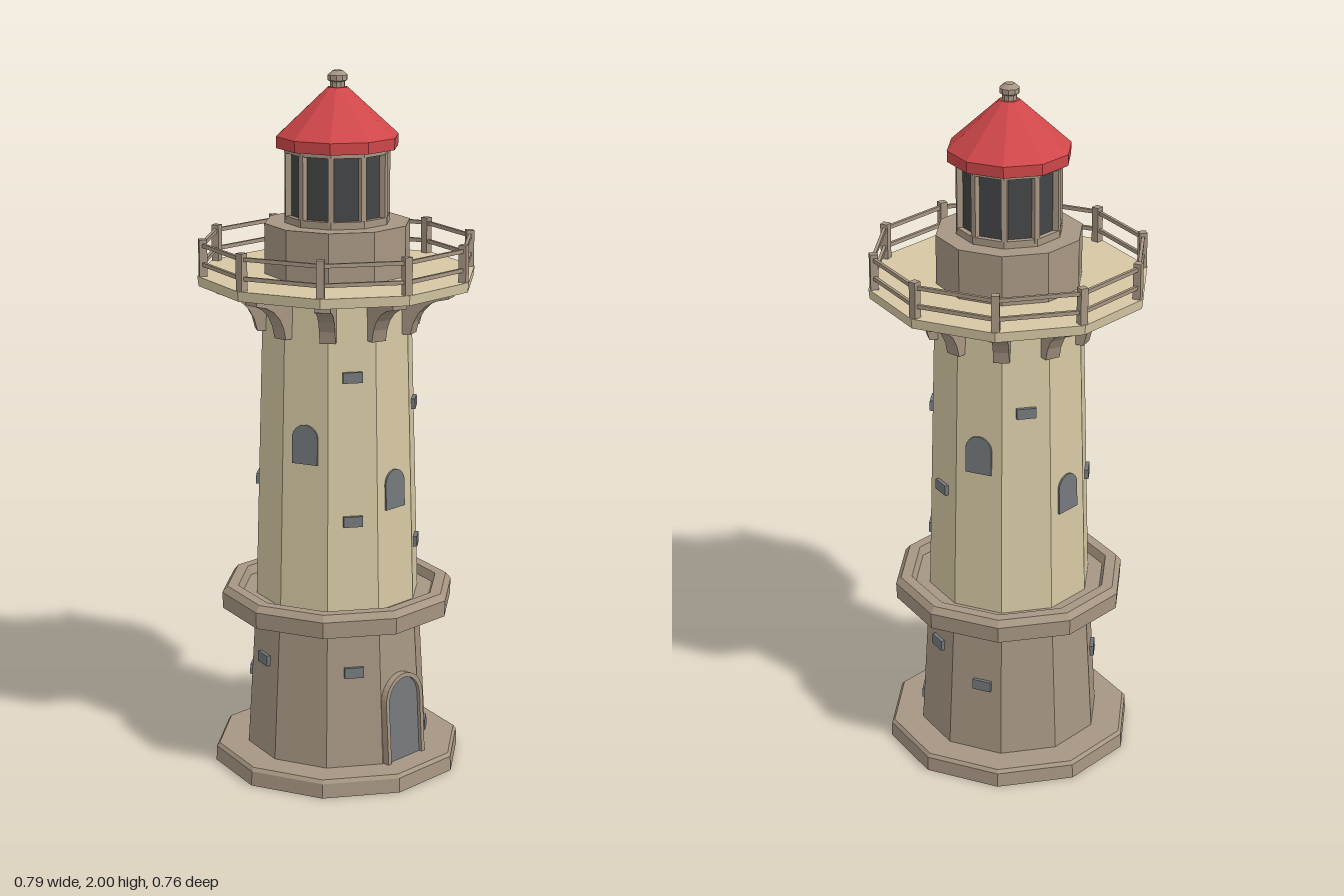
import * as THREE from 'three';

const SIDES = 10;
const STEP = (Math.PI * 2) / SIDES;
const rad = THREE.MathUtils.degToRad;
const CORNER = rad(-2.3);            // heading of the first corner, from +x towards +z
const START = Math.PI / 2 - CORNER;  // the same corner as a cylinder start angle
const APOTHEM = Math.cos(STEP / 2);

function material(name, color) {
  const m = new THREE.MeshStandardMaterial({ color, flatShading: true });
  m.name = name;
  return m;
}

export function createModel() {
  const cream = material('cream plaster', 0xd6c8a4);
  const stone = material('brown stone', 0xa79683);
  const red = material('red roof', 0xd0474a);
  const slate = material('slate grey', 0x74787b);
  const glass = material('dark glass', 0x434546);

  const model = new THREE.Group();
  model.name = 'lighthouse';

  function add(name, geometry, mat, parent = model) {
    const mesh = new THREE.Mesh(geometry, mat);
    mesh.name = name;
    parent.add(mesh);
    return mesh;
  }
  // Ten-sided drum between two heights
  function drum(name, rTop, rBottom, y0, y1, mat) {
    const g = new THREE.CylinderGeometry(rTop, rBottom, y1 - y0, SIDES, 1, false, START);
    add(name, g, mat).position.y = (y0 + y1) / 2;
  }
  // Ten-sided turned profile
  function turned(name, points, mat) {
    const profile = points.map(([r, y]) => new THREE.Vector2(r, y));
    add(name, new THREE.LatheGeometry(profile, SIDES, START), mat);
  }
  // Group whose local +z points outwards at a heading
  function facing(name, angle) {
    const g = new THREE.Group();
    g.name = name;
    g.rotation.y = Math.PI / 2 - angle;
    model.add(g);
    return g;
  }
  const corner = (k) => CORNER + k * STEP;
  const side = (k) => CORNER + (k + 0.5) * STEP;

  // Tower radius at a height
  const wallRadius = (y) => (y < 0.5 ? 0.267 - 0.058 * y : 0.237 - 0.028 * (y - 0.5));
  const wallLean = (y) => (y < 0.5 ? -0.055 : -0.026);

  // Main masonry
  turned('baseSlab', [[0, 0], [0.36, 0], [0.358, 0.042], [0.35, 0.052], [0, 0.052]], stone);
  drum('lowerTower', wallRadius(0.48), wallRadius(0.04), 0.04, 0.48, stone);
  turned('middleLedge', [[0.2, 0.46], [0.335, 0.465], [0.337, 0.512], [0.322, 0.53],
    [0.29, 0.53], [0.28, 0.505], [0.2, 0.505]], stone);
  drum('upperTower', wallRadius(1.42), wallRadius(0.5), 0.5, 1.42, cream);
  drum('galleryDeck', 0.396, 0.393, 1.41, 1.438, cream);
  drum('lanternBase', 0.207, 0.207, 1.435, 1.58, stone);

  // Lantern room
  drum('lanternSill', 0.15, 0.15, 1.575, 1.6, stone);
  drum('lanternGlass', 0.134, 0.134, 1.59, 1.795, glass);
  drum('lanternHead', 0.15, 0.15, 1.775, 1.795, stone);
  turned('roof', [[0, 1.795], [0.14, 1.795], [0.172, 1.788], [0.173, 1.82],
    [0.028, 1.953], [0, 1.953]], red);
  turned('finial', [[0.021, 1.94], [0.021, 1.968], [0.028, 1.972], [0.028, 1.986],
    [0.014, 1.998], [0, 2]], stone);

  // Curved bracket section, local x pointing outwards
  const bracketShape = new THREE.Shape();
  bracketShape.moveTo(0.19, 1.28);
  bracketShape.lineTo(0.232, 1.28);
  bracketShape.quadraticCurveTo(0.245, 1.375, 0.345, 1.39);
  bracketShape.lineTo(0.345, 1.412);
  bracketShape.lineTo(0.19, 1.412);
  const bracketGeo = new THREE.ExtrudeGeometry(bracketShape,
    { depth: 0.044, bevelEnabled: false, curveSegments: 5 });
  bracketGeo.translate(0, 0, -0.022);

  // Parts repeated around the corners and sides
  const railRadius = 0.382;
  const railLength = 2 * railRadius * Math.sin(STEP / 2);
  for (let k = 0; k < SIDES; k++) {
    add('bracket', bracketGeo, stone).rotation.y = -corner(k);

    const atCorner = facing('cornerPosts', corner(k));
    add('railingPost', new THREE.BoxGeometry(0.022, 0.108, 0.022), stone, atCorner)
      .position.set(0, 1.487, 0.38);
    add('lanternPost', new THREE.BoxGeometry(0.016, 0.19, 0.018), stone, atCorner)
      .position.set(0, 1.685, 0.139);

    const atSide = facing('railingSide', side(k));
    for (const y of [1.472, 1.525]) {
      add('rail', new THREE.BoxGeometry(railLength, 0.011, 0.009), stone, atSide)
        .position.set(0, y, railRadius * APOTHEM);
    }
  }

  // Round-headed outline standing on y = 0
  function archShape(width, height) {
    const r = width / 2;
    const s = new THREE.Shape();
    s.moveTo(-r, 0);
    s.lineTo(r, 0);
    s.lineTo(r, height - r);
    s.absarc(0, height - r, r, 0, Math.PI, false);
    s.lineTo(-r, 0);
    return s;
  }
  const slab = (shape, depth) => new THREE.ExtrudeGeometry(shape,
    { depth, bevelEnabled: false, curveSegments: 8 });

  // Place a part on a wall at a given side, offset and height
  function onWall(name, geometry, mat, k, x, y, out) {
    const mesh = add(name, geometry, mat, facing(name + 'Mount', side(k)));
    mesh.position.set(x, y, wallRadius(y) * APOTHEM + out);
    mesh.rotation.x = wallLean(y);
  }

  // Arched windows
  const windowGeo = slab(archShape(0.078, 0.112), 0.009);
  for (const [k, y] of [[1, 0.79], [6, 0.79], [3, 0.93], [8, 0.93]]) {
    onWall('window', windowGeo, slate, k, 0, y, -0.004);
  }

  // Door with a raised arched frame
  const frame = archShape(0.156, 0.255);
  frame.holes.push(archShape(0.13, 0.242));
  onWall('doorFrame', slab(frame, 0.026), stone, 1, 0, 0.05, -0.006);
  onWall('door', slab(archShape(0.132, 0.243), 0.014), slate, 1, 0, 0.05, -0.004);

  // Scattered exposed bricks: side, offset, height
  const brickGeo = new THREE.BoxGeometry(0.055, 0.03, 0.022);
  const bricks = [
    [2, 0, 1.18], [2, 0, 0.77], [2, 0, 0.33],
    [0, 0.025, 1.06], [0, 0, 0.66], [0, 0, 0.1],
    [9, 0, 0.845], [9, 0, 0.345],
    [8, 0.02, 0.265], [7, 0, 1.12],
    [5, 0.025, 0.84], [5, 0.02, 0.26], [4, 0, 0.33],
  ];
  for (const [k, x, y] of bricks) onWall('brick', brickGeo, slate, k, x, y, 0);

  return model;
}
